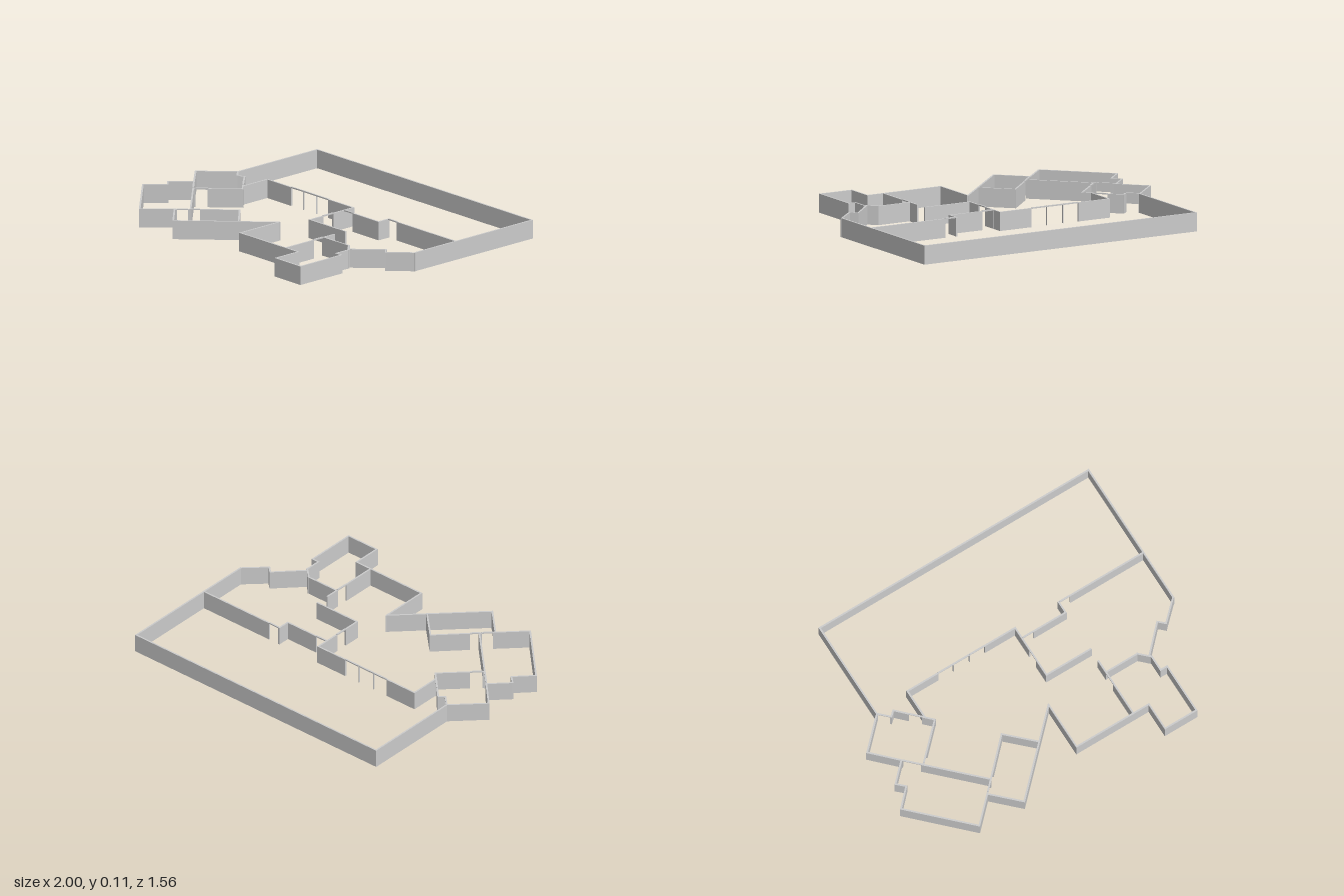
import * as THREE from 'three';

const HEIGHT = 0.11, THICK = 0.01;
const LINTEL_LOW = 0.106, LINTEL_TOP = 0.113;

export function createModel() {
  const model = new THREE.Group();
  model.name = 'floorPlanWalls';
  const material = new THREE.MeshStandardMaterial({ color: 0xcccccc, flatShading: true });

  // One straight box standing between two plan points, from height y0 to y1
  function slab(group, name, a, b, y0, y1) {
    const length = a.distanceTo(b);
    if (length < 0.001) return;
    const mesh = new THREE.Mesh(new THREE.BoxGeometry(length, y1 - y0, THICK), material);
    mesh.position.set((a.x + b.x) / 2, (y0 + y1) / 2, (a.y + b.y) / 2);
    mesh.rotation.y = -Math.atan2(b.y - a.y, b.x - a.x);
    mesh.name = name;
    group.add(mesh);
  }

  // A chain of walls through [x, z] points; doors = { segment: [[from, to], ...] } as fractions
  function walls(name, points, doors = {}) {
    const group = new THREE.Group();
    group.name = name;
    for (let i = 0; i < points.length - 1; i++) {
      const a = new THREE.Vector2(...points[i]);
      const b = new THREE.Vector2(...points[i + 1]);
      const overlap = THICK / 2 / a.distanceTo(b);
      const at = (t) => a.clone().lerp(b, t);
      let start = -overlap;
      for (const [from, to] of doors[i] ?? []) {
        if (from > start) slab(group, 'wall', at(start), at(from), 0, HEIGHT);
        slab(group, 'doorLintel', at(from), at(to), LINTEL_LOW, LINTEL_TOP);
        start = to;
      }
      if (start < 1) slab(group, 'wall', at(start), at(1 + overlap), 0, HEIGHT);
    }
    model.add(group);
  }

  // Closed outer boundary
  walls('outerWall', [
    [-0.805, -0.78], [0.993, -0.78], [0.993, 0.125], [0.875, 0.238], [0.838, 0.203],
    [0.692, 0.352], [0.70, 0.365], [0.70, 0.46], [0.743, 0.46], [0.743, 0.773],
    [0.534, 0.773], [0.534, 0.60], [0.05, 0.60], [0.05, 0.30], [-0.377, 0.723],
    [-0.53, 0.573], [-0.67, 0.712], [-0.993, 0.39], [-0.895, 0.29], [-0.94, 0.247],
    [-0.835, 0.142], [-0.975, 0], [-0.805, -0.168], [-0.805, -0.78],
  ]);

  // Small corner room, with three doorways
  walls('cornerRoomWall',
    [[-0.805, -0.168], [-0.745, -0.11], [-0.715, -0.137], [-0.545, 0.035], [-0.74, 0.227]],
    { 0: [[0.06, 0.94]], 2: [[0.38, 0.7]], 3: [[0.72, 0.98]] });

  // Long slanted partition
  walls('slantedPartition', [[-0.835, 0.142], [-0.467, 0.507]], { 0: [[0.02, 0.22]] });

  // Slanted room with two doorways beside the partition
  walls('slantedRoomWall', [[-0.53, 0.573], [-0.27, 0.31], [-0.115, 0.46]],
    { 0: [[0.04, 0.21], [0.23, 0.39]] });

  // Hall wall: three doorways split by thin posts, then one more beyond the corner
  walls('hallWall',
    [[-0.585, -0.013], [-0.585, -0.193], [0.135, -0.193], [0.135, 0.142], [0.43, 0.142]],
    { 1: [[0.285, 0.422], [0.426, 0.572], [0.576, 0.715]], 2: [[0.475, 0.695]] });

  // Stepped wall reaching the outer side
  walls('steppedWall',
    [[0.135, -0.12], [0.427, -0.12], [0.427, -0.193], [0.993, -0.193]],
    { 0: [[0.02, 0.26]], 2: [[0.01, 0.13]] });

  // Side room partitions
  walls('sideRoomPartition', [[0.43, 0.228], [0.43, 0.60]], { 0: [[0.23, 0.43]] });
  walls('sideRoomWall', [[0.43, 0.307], [0.64, 0.307], [0.692, 0.358]]);

  return model;
}
